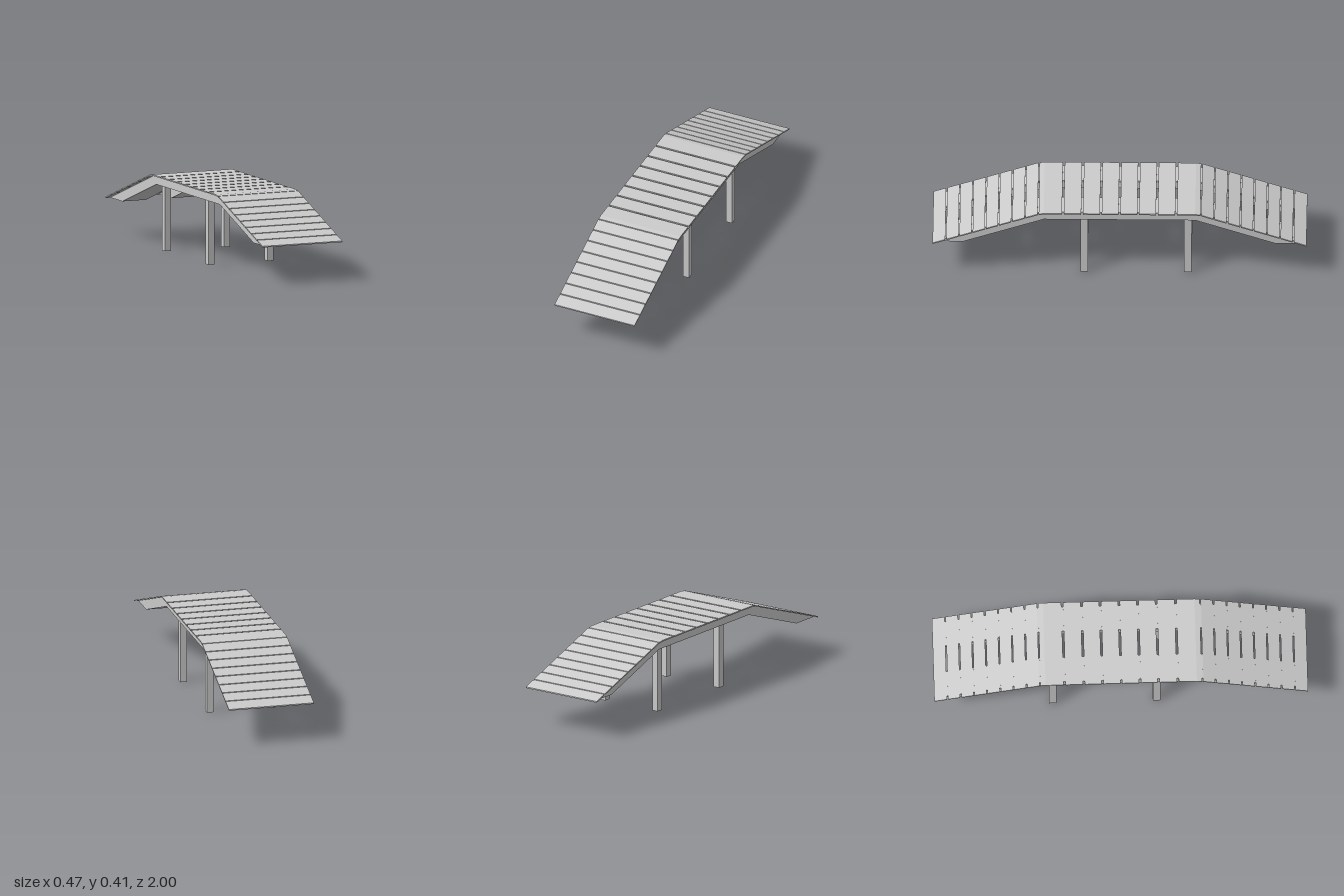
import * as THREE from 'three';

const material = new THREE.MeshStandardMaterial({ color: 0xcccccc, flatShading: true });
const THICK = 0.007;      // plank thickness
const WIDTH = 0.47;       // deck width

// Deck height along the bridge: flat middle, short bevel, straight ramp
function deckY(z) {
  const a = Math.abs(z);
  if (a <= 0.405) return 0.41;
  if (a <= 0.44) return 0.41 - (a - 0.405) * 0.17;
  return 0.404 - (a - 0.44) * 0.3464;
}

// Extrude a side outline of [z, y] points across the bridge
function sideExtrude(points, width, x, name) {
  const shape = new THREE.Shape(points.map(([z, y]) => new THREE.Vector2(z, y)));
  const geometry = new THREE.ExtrudeGeometry(shape, { depth: width, bevelEnabled: false });
  geometry.rotateY(-Math.PI / 2).translate(x + width / 2, 0, 0);
  const mesh = new THREE.Mesh(geometry, material);
  mesh.name = name;
  return mesh;
}

// One plank between two positions, bent where it crosses the bevel
function plank(z0, z1) {
  const bends = [-0.44, -0.405, 0.405, 0.44].filter((z) => z > z0 && z < z1);
  const zs = [z0, ...bends, z1];
  const bottom = zs.map((z) => [z, deckY(z) - THICK]);
  const top = zs.map((z) => [z, deckY(z)]).reverse();
  return sideExtrude([...bottom, ...top], WIDTH, 0, 'plank');
}

export function createModel() {
  const model = new THREE.Group();
  model.name = 'footbridge';

  // Planks, with a narrow gap at every inner edge
  const deck = new THREE.Group();
  deck.name = 'deck';
  const half = [0, 0.1, 0.2, 0.303];
  for (let i = 0; i <= 8; i++) half.push(0.435 + (i * 0.565) / 8);
  for (let i = 0; i < half.length - 1; i++) {
    const start = half[i] + (half[i] > 0.4 ? 0.003 : 0.005);
    const last = i === half.length - 2;
    const end = half[i + 1] - (last ? 0 : half[i + 1] > 0.4 ? 0.003 : 0.005);
    deck.add(plank(start, end), plank(-end, -start));
  }
  model.add(deck);

  // Two wide beams under the planks, cut level at both ends
  const beamTop = [0.985, 0.44, 0.405, -0.405, -0.44, -0.985].map((z) => [z, deckY(z) - THICK]);
  const beamBottom = [[-0.985, 0.205], [-0.835, 0.205], [-0.405, 0.355],
    [0.405, 0.355], [0.835, 0.205], [0.985, 0.205]];
  for (const side of [-1, 1]) {
    model.add(sideExtrude([...beamBottom, ...beamTop], 0.137, side * 0.1435, side > 0 ? 'leftBeam' : 'rightBeam'));
  }

  // Four posts
  for (const x of [-0.17, 0.178]) {
    for (const z of [0.19, -0.365]) {
      const post = new THREE.Mesh(new THREE.BoxGeometry(0.036, 0.36, 0.04), material);
      post.position.set(x, 0.18, z);
      post.name = 'post';
      model.add(post);
    }
  }
  return model;
}
